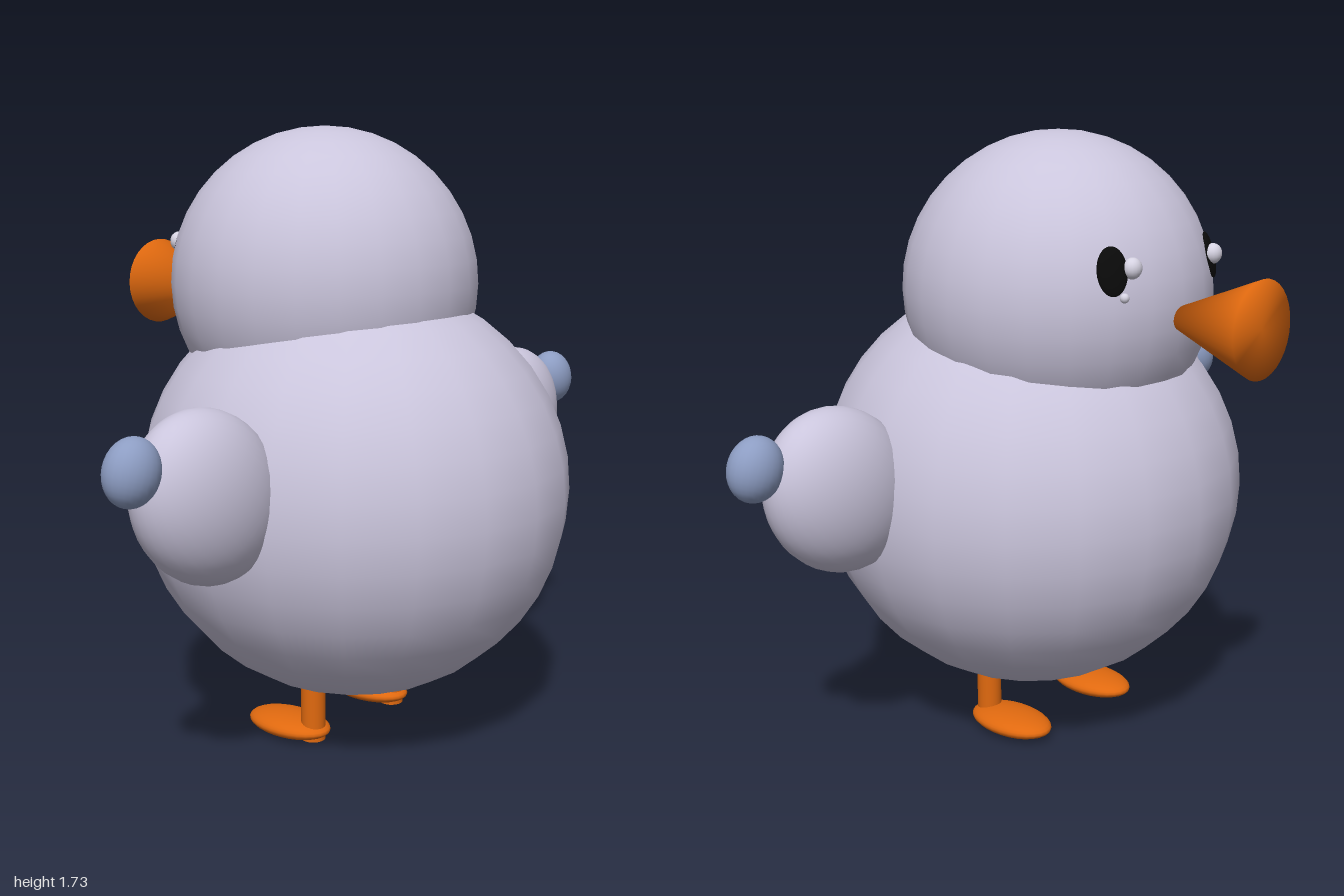
import * as THREE from 'three';
import { mergeVertices } from 'three/addons/utils/BufferGeometryUtils.js';

const mat = (name, color) => {
  const m = new THREE.MeshStandardMaterial({ color });
  m.name = name;
  return m;
};

export function createModel() {
  const group = new THREE.Group();
  const plumage = mat('pale lilac plumage', 0xcac5dc);
  const blue = mat('dusty blue', 0x8d9dc3);
  const orange = mat('orange', 0xe0690f);
  const black = mat('black', 0x0a0a0a);
  const shine = mat('eye shine', 0xd6d3e2);

  const add = (name, geometry, material, pos) => {
    const mesh = new THREE.Mesh(geometry, material);
    mesh.name = name;
    mesh.position.set(...pos);
    group.add(mesh);
    return mesh;
  };
  const ellipsoid = (name, material, pos, radii, w = 20, h = 16) => {
    const mesh = add(name, new THREE.SphereGeometry(1, w, h), material, pos);
    mesh.scale.set(...radii);
    return mesh;
  };

  // Round body and head
  ellipsoid('body', plumage, [0, 0.725, 0.083], [0.61, 0.595, 0.617], 20, 20);
  const headCentre = new THREE.Vector3(0, 1.302, -0.025);
  ellipsoid('head', plumage, headCentre.toArray(), [0.434, 0.434, 0.436], 24, 20);

  // Flared beak: narrow end in the face, wide end out, shaded smoothly over the rim
  let cone = new THREE.ConeGeometry(0.13, 0.335, 32);
  cone.deleteAttribute('normal');
  cone.deleteAttribute('uv');
  cone = mergeVertices(cone);
  cone.computeVertexNormals();
  cone.rotateX(Math.PI / 2);
  add('beak', cone, orange, [0, 1.265, -0.5375]);

  for (const s of [1, -1]) {
    const side = s > 0 ? 'left' : 'right';

    // Raised wing with a blue tip
    const wing = ellipsoid(side + 'Wing', plumage, [s * 0.667, 0.825, 0.155], [0.213, 0.245, 0.138], 32, 20);
    wing.rotation.z = -s * Math.PI / 4;
    const tip = ellipsoid(side + 'WingTip', blue, [s * 0.922, 0.935, 0.168], [0.075, 0.086, 0.065], 24, 16);
    tip.rotation.z = s * 0.3;

    // Leg and flat foot
    add(side + 'Leg', new THREE.CylinderGeometry(0.035, 0.035, 0.2, 24), orange, [s * 0.183, 0.11, 0.085]);
    ellipsoid(side + 'Foot', orange, [s * 0.183, 0.035, -0.005], [0.085, 0.033, 0.138], 28, 16);

    // Oval eye lying on the head surface
    const n = new THREE.Vector3(s * 0.21, 0.103, -0.366).normalize();
    const p = headCentre.clone().addScaledVector(n, 0.432);
    const eye = ellipsoid(side + 'Eye', black, p.toArray(), [0.042, 0.064, 0.014], 24, 16);
    eye.lookAt(p.clone().add(n));
  }

  // Both eyes catch the light on the same side
  ellipsoid('leftEyeShine', shine, [0.16, 1.41, -0.415], [0.028, 0.028, 0.024], 16, 12);
  ellipsoid('rightEyeShine', shine, [-0.2, 1.41, -0.408], [0.028, 0.028, 0.024], 16, 12);
  ellipsoid('leftEyeSmallShine', shine, [0.188, 1.337, -0.413], [0.013, 0.013, 0.013], 12, 8);

  return group;
}
